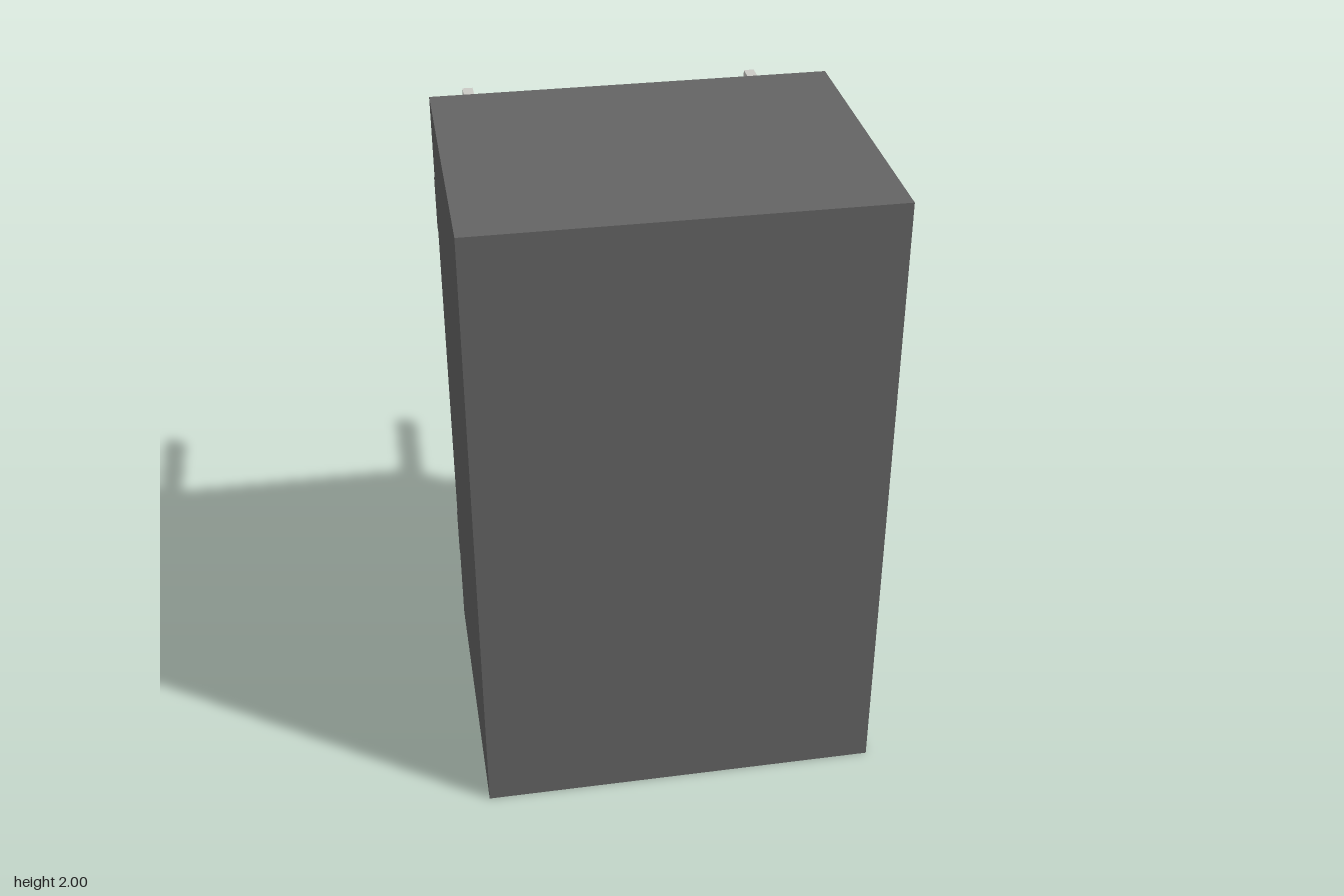
import * as THREE from 'three';

const BACK = -0.245; // plane of the rear face

export function createModel() {
  const model = new THREE.Group();
  const caseMaterial = new THREE.MeshStandardMaterial({ color: 0x646464 });
  const pinMaterial = new THREE.MeshStandardMaterial({ color: 0xcbcbc6 });

  // Box given by its minimum and maximum corners
  function addBox(name, material, [x0, y0, z0], [x1, y1, z1]) {
    const mesh = new THREE.Mesh(new THREE.BoxGeometry(x1 - x0, y1 - y0, z1 - z0), material);
    mesh.position.set((x0 + x1) / 2, (y0 + y1) / 2, (z0 + z1) / 2);
    mesh.name = name;
    model.add(mesh);
  }

  // Housing
  addBox('housing', caseMaterial, [-0.62, 0, BACK], [0.62, 2, 0.71]);

  // Standoff feet along the side edges of the rear face
  for (const [y0, y1, z] of [[0.265, 0.435, -0.278], [1.54, 1.715, -0.283]]) {
    addBox('leftStandoff', caseMaterial, [0.583, y0, z], [0.62, y1, BACK]);
    addBox('rightStandoff', caseMaterial, [-0.62, y0, z], [-0.583, y1, BACK]);
  }

  // Contact pins: three on the left, two on the right
  const addPin = (name, x, y) =>
    addBox(name, pinMaterial, [x - 0.017, y - 0.036, -0.71], [x + 0.017, y + 0.036, BACK]);
  for (const y of [0.199, 1.155, 1.795]) addPin('leftPin', 0.484, y);
  for (const y of [0.199, 1.795]) addPin('rightPin', -0.472, y);

  return model;
}
